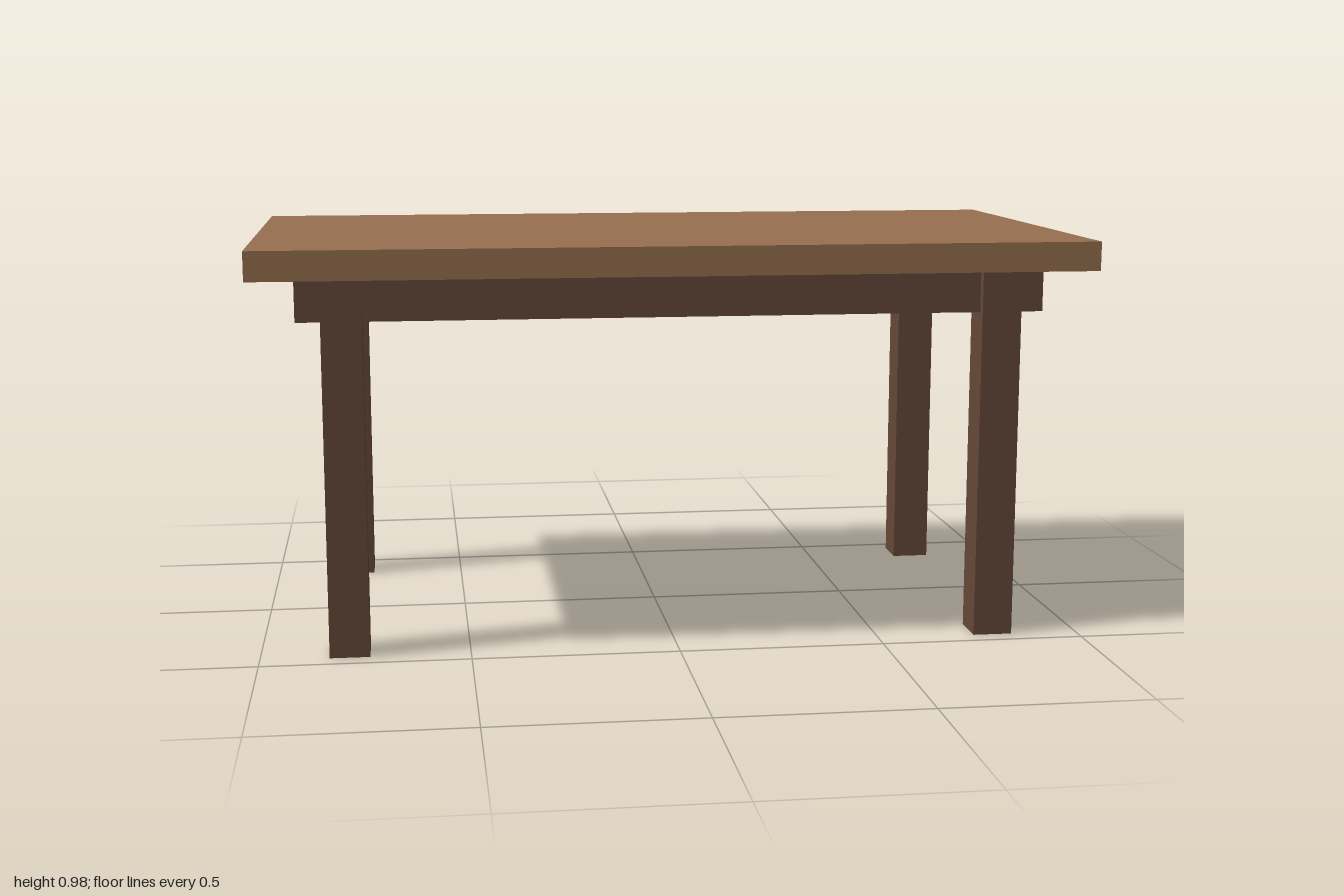
import * as THREE from 'three';

export function createModel() {
  const table = new THREE.Group();
  table.name = 'table';

  const lightWood = new THREE.MeshStandardMaterial({ color: 0x966f4e });
  lightWood.name = 'light wood';
  const darkWood = new THREE.MeshStandardMaterial({ color: 0x644738 });
  darkWood.name = 'dark wood';

  // Box standing between two heights
  function addBox(name, material, width, depth, bottom, top, x = 0, z = 0) {
    const mesh = new THREE.Mesh(new THREE.BoxGeometry(width, top - bottom, depth), material);
    mesh.name = name;
    mesh.position.set(x, (bottom + top) / 2, z);
    table.add(mesh);
  }

  // Top slab and the solid apron block under it
  addBox('tableTop', lightWood, 2, 1.077, 0.909, 0.979);
  addBox('apron', darkWood, 1.79, 0.863, 0.802, 0.909);

  // Four square legs, standing slightly proud of the apron at front and back
  for (const [side, sx] of [['Left', 1], ['Right', -1]]) {
    for (const [end, sz] of [['front', 1], ['back', -1]]) {
      addBox(`${end}${side}Leg`, darkWood, 0.096, 0.096, 0, 0.909, sx * 0.788, sz * 0.405);
    }
  }

  return table;
}
